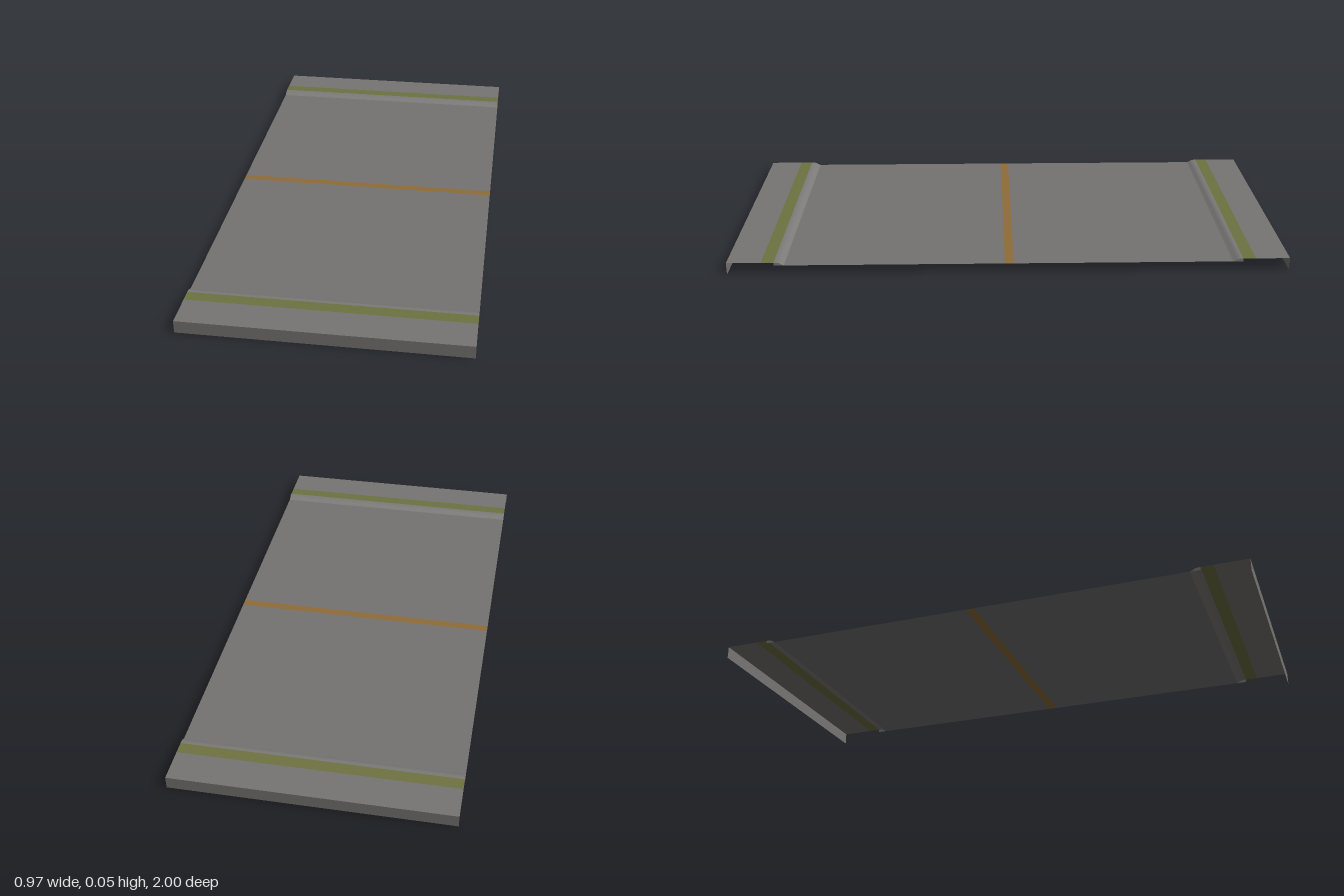
import * as THREE from 'three';

const HALF = 0.487;    // half the width of the section
const TOP = 0.045;     // pavement height
const ROAD = 0.034;    // road surface height

const mat = (name, color) => {
  const m = new THREE.MeshStandardMaterial({ color, side: THREE.DoubleSide });
  m.name = name;
  return m;
};

// Sheet swept along x through [z, y] points, listed from the outer end inwards
function sheet(name, material, points, x0 = -HALF, x1 = HALF) {
  const pos = [], index = [];
  points.forEach(([z, y], i) => {
    pos.push(x0, y, z, x1, y, z);
    if (i) {
      const a = 2 * (i - 1);
      index.push(a, a + 1, a + 3, a, a + 3, a + 2);
    }
  });
  const g = new THREE.BufferGeometry();
  g.setAttribute('position', new THREE.Float32BufferAttribute(pos, 3));
  g.setIndex(index);
  g.computeVertexNormals();
  const mesh = new THREE.Mesh(g, material);
  mesh.name = name;
  return mesh;
}

export function createModel() {
  const asphalt = mat('asphalt grey', 0x757371);
  const concrete = mat('concrete grey', 0x777573);
  const curbGrey = mat('curb grey', 0x7d7b79);
  const yellow = mat('olive yellow paint', 0x6e7342);
  const orange = mat('orange paint', 0x8f6d38);

  const curbProfile = [[0.833, TOP], [0.824, TOP], [0.814, 0.043], [0.806, 0.038], [0.797, ROAD]];

  // One side of the road, from the outer skirt to the centre line
  function buildSide(name) {
    const side = new THREE.Group();
    side.name = name;
    // Three paving slabs, each with its own skirt
    const w = (2 * HALF) / 3;
    for (let i = 0; i < 3; i++) {
      const x0 = -HALF + i * w;
      side.add(sheet('skirtPanel', concrete, [[1, 0], [1, TOP]], x0, x0 + w));
      side.add(sheet('pavementSlab', concrete, [[1, TOP], [0.878, TOP]], x0, x0 + w));
    }
    side.add(sheet('curbStripe', yellow, [[0.878, TOP], [0.833, TOP]]));
    side.add(sheet('curb', curbGrey, curbProfile));
    side.add(sheet('roadLane', asphalt, [[0.797, ROAD], [0.016, ROAD]]));

    // End caps closing the rounded curb
    const shape = new THREE.Shape([...curbProfile, [0.833, ROAD]].map(([z, y]) => new THREE.Vector2(z, y)));
    for (const s of [-1, 1]) {
      const cap = new THREE.Mesh(new THREE.ShapeGeometry(shape), curbGrey);
      cap.name = 'curbEndCap';
      // turn the shape's x axis onto z
      cap.geometry.rotateY(-Math.PI / 2);
      cap.position.x = s * HALF;
      side.add(cap);
    }
    return side;
  }

  const model = new THREE.Group();
  model.name = 'roadSection';
  const front = buildSide('frontSide');
  const back = buildSide('backSide');
  back.rotation.y = Math.PI;
  model.add(front, back, sheet('centreLine', orange, [[0.016, ROAD], [-0.016, ROAD]]));
  return model;
}
